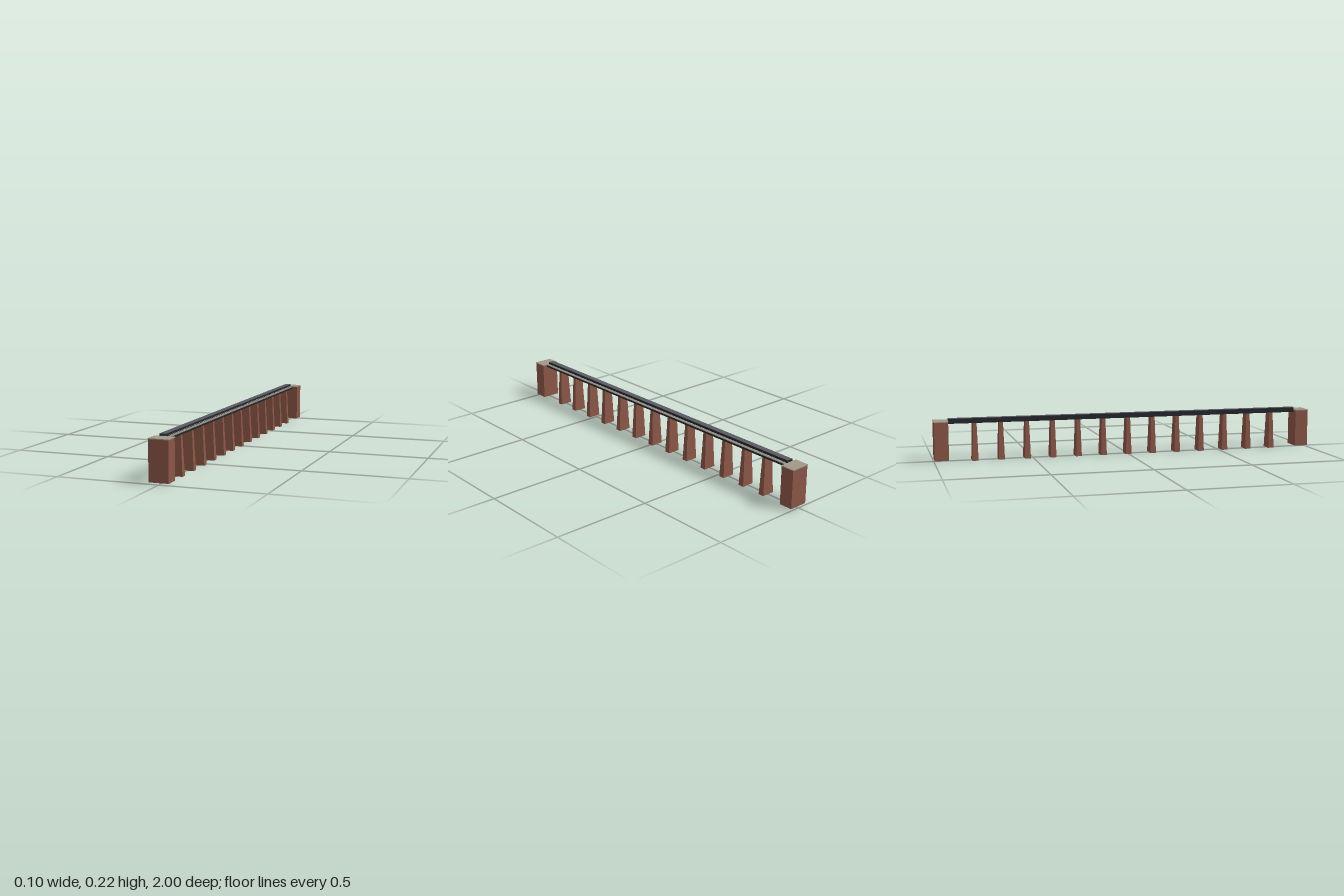
import * as THREE from 'three';

const mat = (name, color, side = THREE.FrontSide) => {
  const m = new THREE.MeshStandardMaterial({ color, side });
  m.name = name;
  return m;
};

export function createModel() {
  const brick = mat('brick red', 0x8b5646);
  const stone = mat('pale stone', 0xa09886);
  const steel = mat('dark steel', 0x25272b);
  const lidGrey = mat('lid grey', 0x5a5a62);
  const planks = mat('walkway grey', 0x8f8c80);
  const railGrey = mat('pale rail', 0xc4c4bc);

  const bridge = new THREE.Group();
  bridge.name = 'viaduct';

  // Box given by its limits on each axis
  const box = (name, m, [x0, x1], [y0, y1], [z0, z1], parent = bridge) => {
    const mesh = new THREE.Mesh(new THREE.BoxGeometry(x1 - x0, y1 - y0, z1 - z0), m);
    mesh.position.set((x0 + x1) / 2, (y0 + y1) / 2, (z0 + z1) / 2);
    mesh.name = name;
    parent.add(mesh);
    return mesh;
  };

  // Abutments with stone caps at both ends
  for (const s of [-1, 1]) {
    const end = new THREE.Group();
    end.name = s > 0 ? 'frontAbutment' : 'backAbutment';
    box('abutmentBlock', brick, [-0.048, 0.048], [0.008, 0.2], [-0.035, 0.035], end);
    box('abutmentCap', stone, [-0.05, 0.05], [0.2, 0.204], [-0.037, 0.037], end);
    end.position.z = s * 0.963;
    bridge.add(end);
  }

  // Tapered piers: the upper corners are drawn inwards
  const pierGeo = new THREE.BoxGeometry(0.066, 0.19, 0.03);
  const p = pierGeo.attributes.position;
  for (let i = 0; i < p.count; i++) {
    if (p.getY(i) > 0) {
      p.setX(i, p.getX(i) * 0.72);
      p.setZ(i, p.getZ(i) * 0.62);
    }
  }
  pierGeo.computeVertexNormals();
  for (let i = -6; i <= 6; i++) {
    const pier = new THREE.Mesh(pierGeo, brick);
    pier.name = 'pier';
    pier.position.set(0, 0.095, i * 0.1325);
    bridge.add(pier);
  }

  const span = [-0.927, 0.927];

  // Longitudinal girders and the floor beneath the duct
  for (const x of [-0.024, 0.004, 0.021]) {
    box('girder', steel, [x, x + 0.003], [0.19, 0.202], span);
  }
  box('ductFloor', steel, [-0.024, 0.007], [0.2, 0.202], span);

  // Hollow duct, open at the ends
  box('leftDuctWall', steel, [0.006, 0.007], [0.202, 0.2145], span);
  box('rightDuctWall', steel, [-0.024, -0.023], [0.202, 0.2145], span);
  box('ductLid', lidGrey, [-0.024, 0.007], [0.2145, 0.2155], span);

  // Cross beams under the deck
  const beams = 84;
  for (let i = 0; i <= beams; i++) {
    const z = -0.922 + (1.844 * i) / beams;
    box('crossBeam', steel, [-0.023, 0.024], [0.193, 0.2], [z - 0.0025, z + 0.0025]);
  }

  // Walkway beside the duct, with posts and a handrail
  box('walkway', planks, [0.009, 0.025], [0.2, 0.2025], span);
  for (let i = 0; i <= 56; i++) {
    const z = -0.924 + (1.848 * i) / 56;
    box('railPost', railGrey, [0.0212, 0.022], [0.2025, 0.2105], [z - 0.0006, z + 0.0006]);
  }
  box('handrail', railGrey, [0.0212, 0.022], [0.21, 0.211], span);

  return bridge;
}
